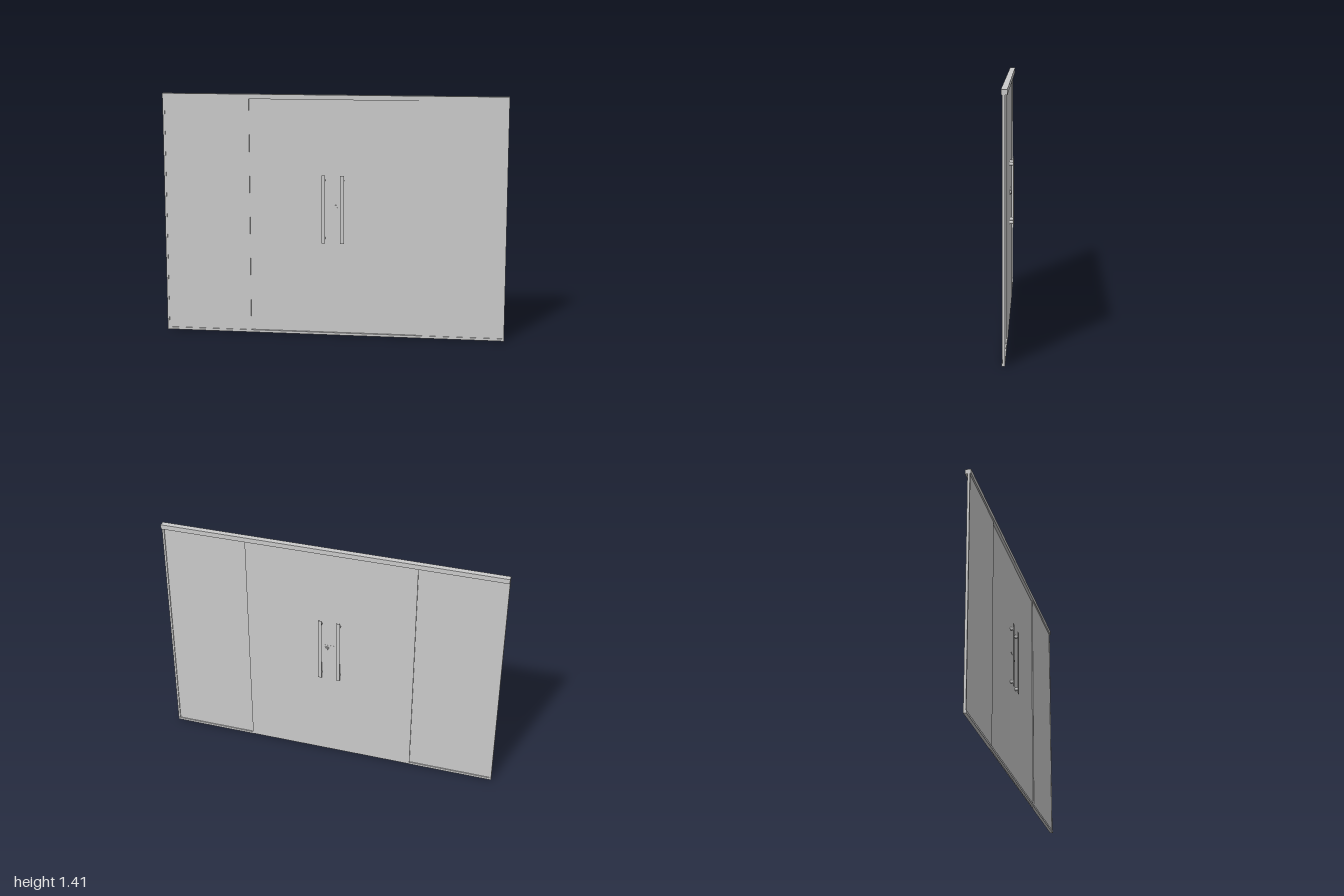
import * as THREE from 'three';

const grey = new THREE.MeshStandardMaterial({ color: 0xcccccc });

export function createModel() {
  const model = new THREE.Group();
  model.name = 'glassDoorWall';

  // Box given by its limits on each axis
  function box(name, [x0, x1], [y0, y1], [z0, z1], parent = model) {
    const mesh = new THREE.Mesh(new THREE.BoxGeometry(Math.abs(x1 - x0), y1 - y0, z1 - z0), grey);
    mesh.position.set((x0 + x1) / 2, (y0 + y1) / 2, (z0 + z1) / 2);
    mesh.name = name;
    parent.add(mesh);
  }

  // Round part along z
  function disc(name, x, y, z0, z1, radius, parent = model) {
    const geometry = new THREE.CylinderGeometry(radius, radius, z1 - z0, 24).rotateX(Math.PI / 2);
    const mesh = new THREE.Mesh(geometry, grey);
    mesh.position.set(x, y, (z0 + z1) / 2);
    mesh.name = name;
    parent.add(mesh);
  }

  const doorBack = -0.002, doorFront = 0.004;

  // Header and floor rail
  box('header', [-1, 1], [1.386, 1.414], [-0.013, 0.02]);
  box('floorRail', [-1, 1], [0, 0.014], [0.0042, 0.017]);

  for (const s of [-1, 1]) {
    const side = s > 0 ? 'left' : 'right';

    // Fixed panel in front, with its wall profile and floor channel
    box(side + 'FixedPanel', [s * 0.49, s * 0.99], [0.014, 1.386], [0.006, 0.012]);
    box(side + 'WallProfile', [s * 0.988, s], [0.014, 1.386], [0, 0.014]);
    box(side + 'FloorChannel', [s * 0.5, s], [0, 0.014], [0, 0.0042]);

    // Sliding leaf behind the fixed panels
    const door = new THREE.Group();
    door.name = side + 'Door';
    model.add(door);
    box('doorGlass', [0, s * 0.5], [0.003, 1.386], [doorBack, doorFront], door);

    // Flat pull bar on both faces, held by round standoffs
    const x = s * 0.055;
    box('frontPullBar', [x - 0.011, x + 0.011], [0.55, 0.95], [0.022, 0.024], door);
    box('backPullBar', [x - 0.011, x + 0.011], [0.55, 0.95], [-0.024, -0.022], door);
    for (const y of [0.58, 0.92]) {
      disc('frontStandoff', x, y, doorFront, 0.022, 0.01, door);
      disc('backStandoff', x, y, -0.022, doorBack, 0.01, door);
    }
  }

  // Lock: rosette and thumb turn on each face, with a slim strip above
  const lock = new THREE.Group();
  lock.name = 'lock';
  model.add(lock);
  disc('backRosette', 0.02, 0.75, -0.006, doorBack, 0.015, lock);
  disc('thumbTurn', 0.02, 0.75, -0.011, -0.006, 0.009, lock);
  disc('frontRosette', 0.02, 0.75, doorFront, 0.008, 0.012, lock);
  box('lockStrip', [-0.042, 0.042], [0.771, 0.775], [doorBack - 0.001, doorFront + 0.001], lock);

  return model;
}
